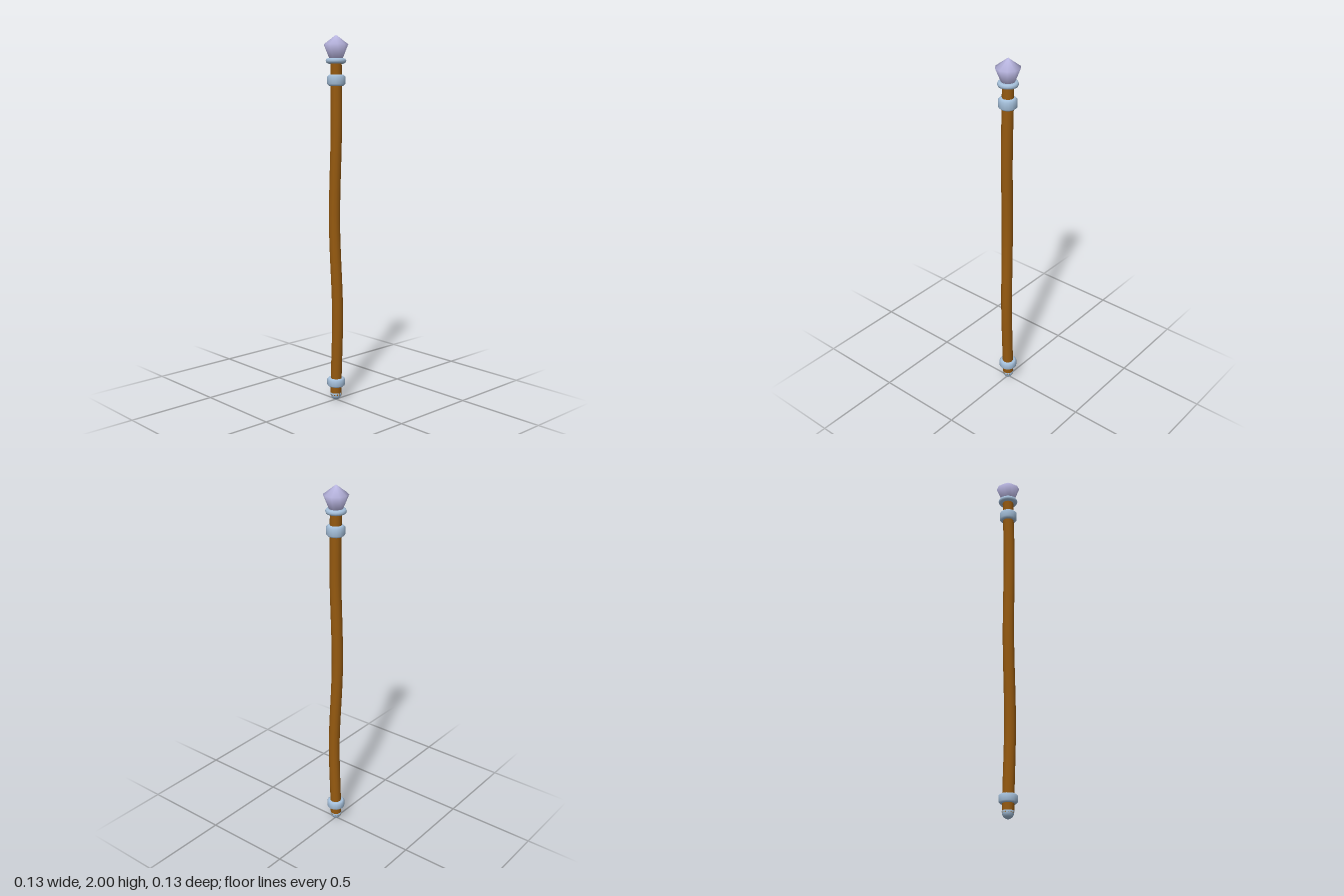
import * as THREE from 'three';

const mat = (name, color) => {
  const m = new THREE.MeshStandardMaterial({ color });
  m.name = name;
  return m;
};

export function createModel() {
  const wood = mat('brownWood', 0x965a10);
  const metal = mat('paleMetal', 0xa6c1dc);
  const crystal = mat('lilacCrystal', 0xbab7e2);
  const group = new THREE.Group();
  group.name = 'staff';

  const add = (name, geometry, material, x = 0, y = 0, z = 0) => {
    const mesh = new THREE.Mesh(geometry, material);
    mesh.name = name;
    mesh.position.set(x, y, z);
    group.add(mesh);
  };
  const lathe = (points, sides, start = 0) =>
    new THREE.LatheGeometry(points.map(([r, y]) => new THREE.Vector2(r, y)), sides, start);

  // Slightly crooked shaft
  const path = new THREE.CatmullRomCurve3([
    [0, 0.03, 0], [0.003, 0.15, 0], [0.013, 0.5, 0], [-0.003, 1, 0.008],
    [0.006, 1.5, 0.003], [0.002, 1.76, 0], [0, 1.87, 0],
  ].map(p => new THREE.Vector3(...p)));
  add('shaft', new THREE.TubeGeometry(path, 24, 0.031, 12), wood);

  // Rounded metal bands around the shaft
  const band = (name, x, y, radius, half, bevel) => add(name, lathe([
    [0.026, -half], [radius - bevel, -half], [radius, -half + bevel],
    [radius, half - bevel], [radius - bevel, half], [0.026, half],
  ], 16), metal, x, y);
  band('lowerBand', 0.001, 0.103, 0.05, 0.023, 0.008);
  band('upperBand', 0.002, 1.764, 0.049, 0.029, 0.01);

  // Thin round collar holding the crystal
  const collar = new THREE.TorusGeometry(0.04, 0.015, 8, 20);
  collar.rotateX(Math.PI / 2);
  add('collar', collar, metal, 0, 1.865);

  // Domed foot cap
  add('footCap', lathe([
    [0, 0], [0.012, 0.003], [0.023, 0.011], [0.03, 0.024], [0.032, 0.042], [0.024, 0.043],
  ], 14), metal);

  // Ten-sided crystal with a pointed top
  add('crystal', lathe([
    [0, 1.862], [0.034, 1.872], [0.066, 1.951], [0, 2],
  ], 10, Math.PI / 10), crystal);

  return group;
}
